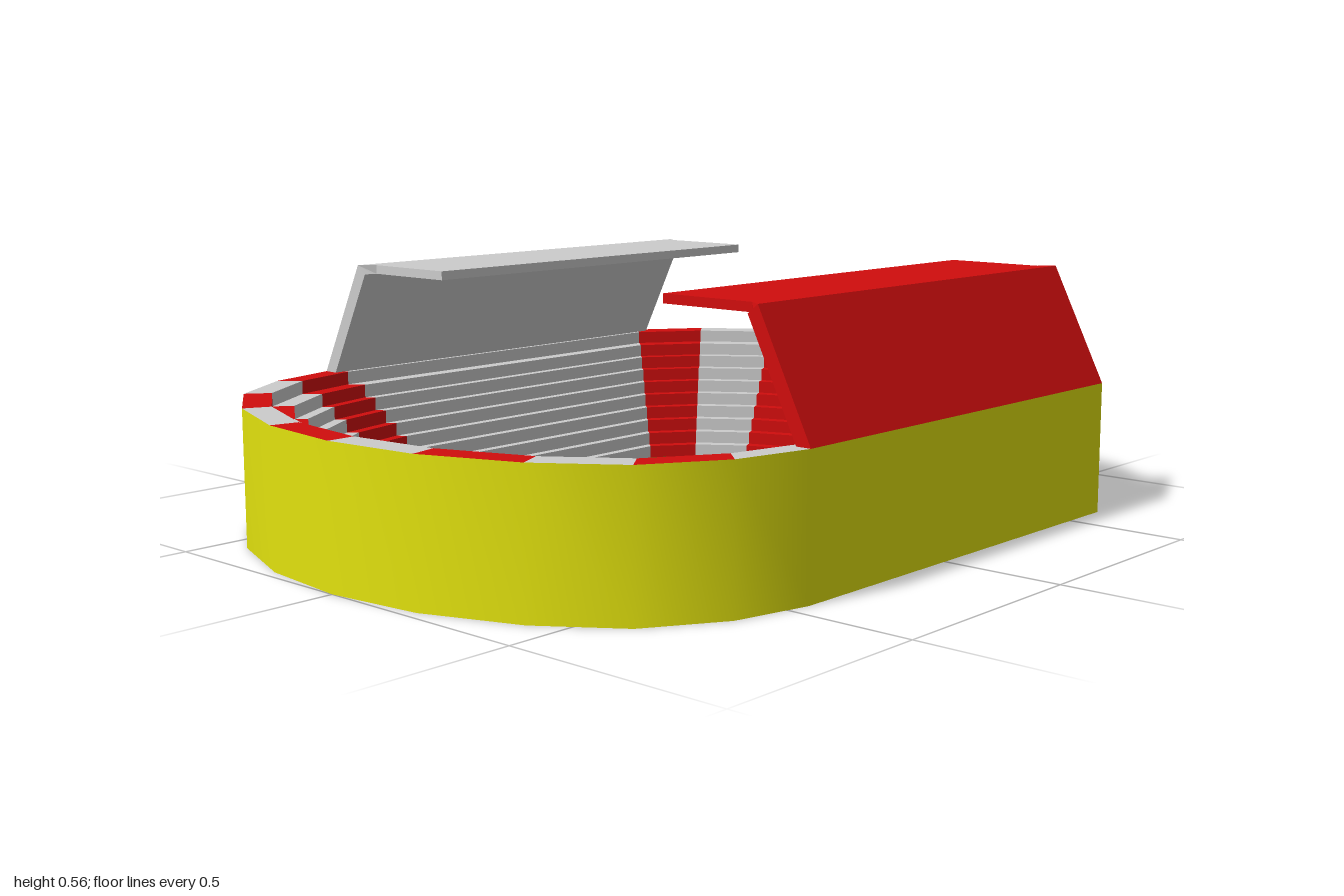
import * as THREE from 'three';
import { toCreasedNormals } from 'three/addons/utils/BufferGeometryUtils.js';

const RED = 0xd00d0d, GREY = 0xcccccc, YELLOW = 0xe2e20e, BROWN = 0x6b420e, GREEN = 0x3aa53a;
const RIM = 0.3, INNER = 0.655;

// Half of each curved end as [x, z]; the other half is mirrored in z
const RIGHT = [[0.62, 0.73], [0.77, 0.62], [0.89, 0.45], [0.97, 0.24]];
const LEFT = [[-0.45, 0.73], [-0.62, 0.69], [-0.78, 0.59], [-0.895, 0.43], [-0.975, 0.22]];
const back = ([x, z]) => [x, -z];
const OUTLINE = [
  ...RIGHT.map(back), [1, 0], ...[...RIGHT].reverse(),
  ...LEFT, [-1, 0], ...[...LEFT].reverse().map(back),
];

function mesh(name, geometry, color, side = THREE.FrontSide) {
  const m = new THREE.Mesh(geometry, new THREE.MeshStandardMaterial({ color, side }));
  m.name = name;
  return m;
}

function quad(out, a, b, c, d) {
  out.push(...a, ...b, ...c, ...a, ...c, ...d);
}

function fromTriangles(positions) {
  const g = new THREE.BufferGeometry();
  g.setAttribute('position', new THREE.Float32BufferAttribute(positions, 3));
  g.computeVertexNormals();
  return g;
}

const at = (i, scale, y) => {
  const [x, z] = OUTLINE[i % OUTLINE.length];
  return [x * scale, y, z * scale];
};

// Outer wall, smooth round the ends
function outerWall() {
  const p = [];
  OUTLINE.forEach((_, i) => quad(p, at(i, 1, 0), at(i, 1, RIM), at(i + 1, 1, RIM), at(i + 1, 1, 0)));
  return toCreasedNormals(fromTriangles(p), 0.55);
}

// Stepped seating profile: [distance from the inner edge 0..1, height]
function seatProfile() {
  const depths = [...Array(8).fill(0.085), 0.14, 0.18];
  const profile = [[0, 0]];
  let s = 0;
  depths.forEach((d, i) => {
    const y = RIM * (i + 1) / depths.length;
    profile.push([s, y], [s += d, y]);
  });
  return profile.map(([t, y]) => [INNER + (1 - INNER) * t, y]);
}

// Every second sector of seating
function seating(parity) {
  const p = [], profile = seatProfile();
  for (let i = parity; i < OUTLINE.length; i += 2) {
    for (let k = 0; k < profile.length - 1; k++) {
      const [s0, y0] = profile[k], [s1, y1] = profile[k + 1];
      quad(p, at(i, s0, y0), at(i + 1, s0, y0), at(i + 1, s1, y1), at(i, s1, y1));
    }
  }
  return fromTriangles(p);
}

// Leaning back wall and flat roof over one straight side
function canopy(name, color) {
  const g = new THREE.Group();
  g.name = name;
  const x0 = -0.45, x1 = 0.62;

  // Wall section drawn in (z, y), extruded along x
  const section = new THREE.Shape([[0.73, RIM], [0.6, 0.56], [0.575, 0.54], [0.695, RIM]]
    .map(([z, y]) => new THREE.Vector2(-z, y)));
  const wall = new THREE.ExtrudeGeometry(section, { depth: x1 - x0, bevelEnabled: false });
  wall.rotateY(Math.PI / 2).translate(x0, 0, 0);
  g.add(mesh('canopyWall', wall, color));

  // Roof plan, narrowing just in front of the wall
  const plan = new THREE.Shape([[x0, 0.6], [x1, 0.6], [0.59, 0.57], [0.59, 0.34], [-0.43, 0.34], [-0.43, 0.57]]
    .map(([x, z]) => new THREE.Vector2(x, -z)));
  const roof = new THREE.ExtrudeGeometry(plan, { depth: 0.02, bevelEnabled: false });
  roof.rotateX(-Math.PI / 2).translate(0, 0.54, 0);
  // Underside starts inside the leaning wall
  const pos = roof.attributes.position;
  for (let i = 0; i < pos.count; i++) {
    if (pos.getZ(i) > 0.595 && pos.getY(i) < 0.55) pos.setZ(i, 0.59);
  }
  roof.computeVertexNormals();
  g.add(mesh('canopyRoof', roof, color));
  return g;
}

export function createModel() {
  const model = new THREE.Group();
  model.name = 'stadium';

  model.add(mesh('outerWall', outerWall(), YELLOW));
  model.add(mesh('redSeating', seating(0), RED));
  model.add(mesh('greySeating', seating(1), GREY));

  // Ground slab
  const ground = new THREE.ShapeGeometry(new THREE.Shape(OUTLINE.map(([x, z]) => new THREE.Vector2(x, -z))));
  ground.rotateX(-Math.PI / 2);
  model.add(mesh('ground', ground, BROWN, THREE.DoubleSide));

  // Oval pitch
  const pitch = new THREE.CircleGeometry(1, 24);
  pitch.scale(0.49, 0.43, 1).rotateX(-Math.PI / 2).translate(0, 0.008, 0);
  model.add(mesh('pitch', pitch, GREEN));

  // Canopies on both long sides; the rear one is turned and shifted to the same x range
  model.add(canopy('frontCanopy', RED));
  const rear = canopy('rearCanopy', GREY);
  rear.rotation.y = Math.PI;
  rear.position.x = 0.17;
  model.add(rear);

  return model;
}
